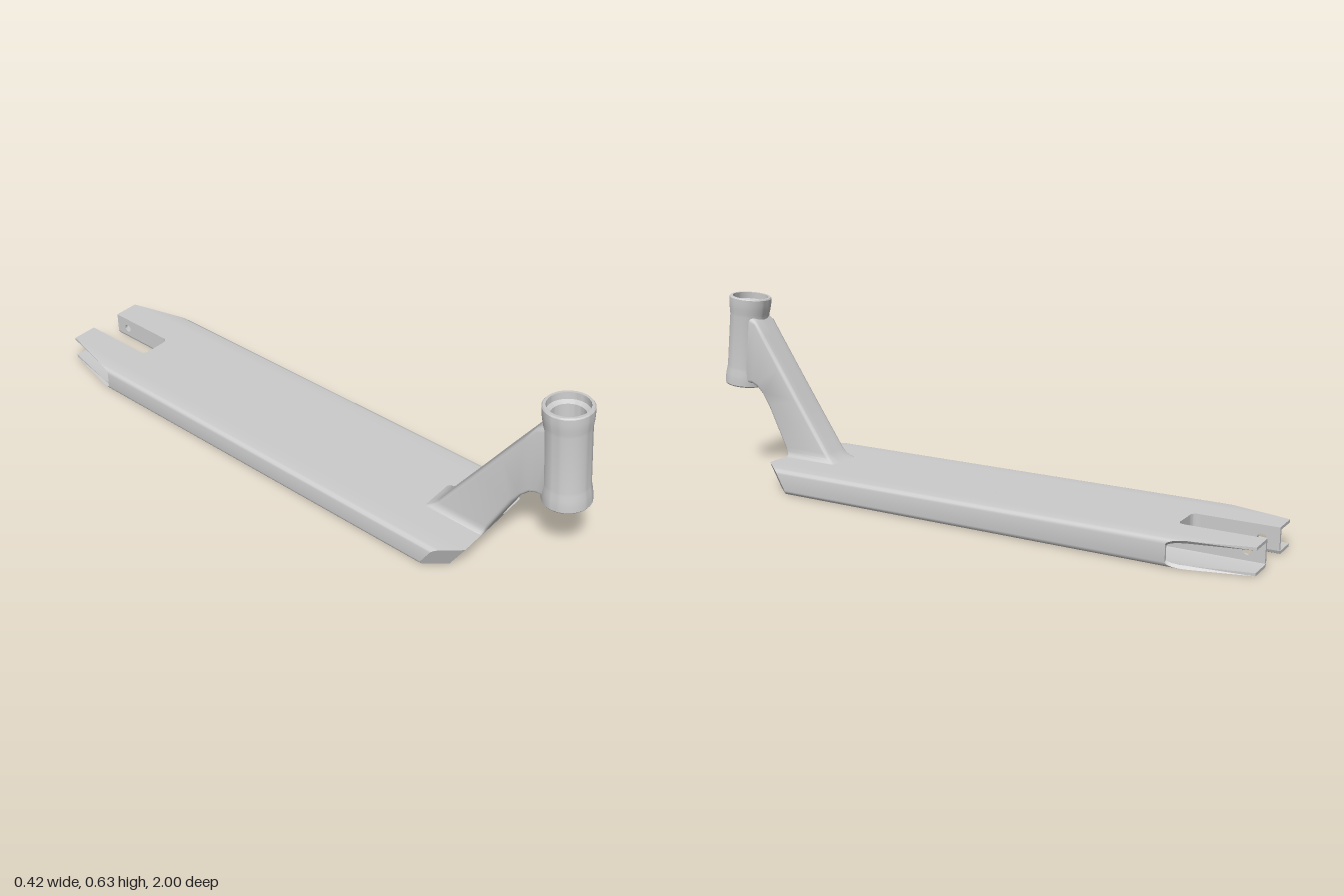
import * as THREE from 'three';
import { toCreasedNormals } from 'three/addons/utils/BufferGeometryUtils.js';

const material = new THREE.MeshStandardMaterial({ color: 0xcccccc, side: THREE.DoubleSide });
const TOP = 0.083, SLOT = 0.058, BEND = 0.147;

// Slanted, corner-cut nose and tapered tail of the deck
const noseZ = (x, y) => 0.66 + 0.048 * y / TOP - Math.max(0, x - BEND) * 1.15;
const tailZ = (x) => -1 + Math.max(0, x - BEND) * 0.24 / (0.21 - BEND);

function part(parent, name, geometry, crease = 0.6) {
  const mesh = new THREE.Mesh(toCreasedNormals(geometry, crease), material);
  mesh.name = name;
  parent.add(mesh);
  return mesh;
}

// Skin a list of equal-length rows of [x, y, z]; polygons in caps close the last row
function loft(rows, closed, caps = []) {
  const n = rows[0].length, index = [];
  for (let i = 0; i < rows.length - 1; i++) {
    for (let j = 0; j < (closed ? n : n - 1); j++) {
      const k = (j + 1) % n, a = i * n + j, b = i * n + k;
      index.push(a, b, a + n, b, b + n, a + n);
    }
  }
  const last = (rows.length - 1) * n;
  for (const cap of caps) {
    for (let i = 1; i < cap.length - 1; i++) index.push(last + cap[0], last + cap[i], last + cap[i + 1]);
  }
  const g = new THREE.BufferGeometry();
  g.setAttribute('position', new THREE.Float32BufferAttribute(rows.flat(2), 3));
  g.setIndex(index);
  return g;
}

// Extrude a [z, y] side profile across x from x0 to x1
function sideProfile(points, x0, x1, hole) {
  const shape = new THREE.Shape(points.map(([z, y]) => new THREE.Vector2(z, y)));
  if (hole) shape.holes.push(new THREE.Path().absarc(hole[0], hole[1], hole[2], 0, Math.PI * 2, true));
  const g = new THREE.ExtrudeGeometry(shape, { depth: x1 - x0, bevelEnabled: false, curveSegments: 16 });
  return g.rotateY(-Math.PI / 2).translate(x1, 0, 0);
}

// Hollow rail along one side of the deck
function railGeometry() {
  const section = [[SLOT, 0.012], [0.0615, 0.0035], [0.07, 0], [BEND, 0]];
  const r = 0.015;
  for (const [cy, start] of [[r, -Math.PI / 2], [TOP - r, 0]]) {
    for (let i = 0; i <= 4; i++) {
      const a = start + i * Math.PI / 8;
      section.push([0.21 - r + r * Math.cos(a), cy + r * Math.sin(a)]);
    }
  }
  section.push([BEND, TOP], [SLOT, TOP]);
  const inner = section.map(([x, y]) => [x > BEND ? BEND + (x - BEND) * 0.86 : x, TOP / 2 + (y - TOP / 2) * 0.78]);
  const rows = [
    inner.map(([x, y]) => [x, y, 0.5]),
    inner.map(([x, y], i) => [x, y, tailZ(section[i][0])]),
    section.map(([x, y]) => [x, y, tailZ(x)]),
    section.map(([x, y]) => [x, y, noseZ(x, y)]),
  ];
  return loft(rows, false, [[0, 1, 2, 3, 14, 15], [3, 4, 5, 6, 7, 8, 9, 10, 11, 12, 13, 14]]);
}

// Plate joining the rails, with rounded corners at the wheel slot
function plateGeometry() {
  const s = new THREE.Shape();
  s.moveTo(-SLOT, -0.7);
  s.lineTo(SLOT, -0.7);
  s.lineTo(SLOT, 0.757);
  s.quadraticCurveTo(SLOT, 0.735, 0.036, 0.735);
  s.lineTo(-0.036, 0.735);
  s.quadraticCurveTo(-SLOT, 0.735, -SLOT, 0.757);
  s.closePath();
  const g = new THREE.ExtrudeGeometry(s, { depth: 0.038, bevelEnabled: false, curveSegments: 6 });
  g.rotateX(-Math.PI / 2).translate(0, TOP - 0.038, 0);
  const p = g.attributes.position;
  for (let i = 0; i < p.count; i++) if (p.getZ(i) > 0.69) p.setZ(i, noseZ(0, p.getY(i)));
  return g;
}

// Neck: rounded rectangles between a rear and a front edge, wrapped onto the head tube
function neckGeometry() {
  const stations = [ // rear z, rear y, front z, front y, half width
    [0.497, 0.08, 0.708, 0.08, 0.068],
    [0.512, 0.088, 0.711, 0.09, 0.058],
    [0.525, 0.097, 0.715, 0.1, 0.054],
    [0.54, 0.112, 0.722, 0.115, 0.0525],
    [0.66, 0.286, 0.79, 0.252, 0.0525],
    [0.735, 0.396, 0.812, 0.287, 0.0525],
    [0.8, 0.49, 0.837, 0.312, 0.0525],
    [0.835, 0.542, 0.86, 0.322, 0.0525],
    [0.848, 0.562, 0.875, 0.323, 0.0525],
  ];
  const rows = stations.map(([zr, yr, zf, yf, w], i) => {
    const len = Math.hypot(zf - zr, yf - yr), r = 0.013, row = [];
    const corners = [[-1, 1, Math.PI], [1, 1, Math.PI / 2], [1, 0, 0], [-1, 0, -Math.PI / 2]];
    for (const [sx, end, start] of corners) {
      for (let k = 0; k <= 4; k++) {
        const a = start - k * Math.PI / 8;
        const x = sx * (w - r) + r * Math.cos(a);
        const t = ((end ? len - r : r) + r * Math.sin(a)) / len;
        const y = yr + (yf - yr) * t;
        const wrapped = 0.915 - 0.115 * (y - 0.466) - Math.sqrt(0.057 ** 2 - Math.min(x * x, 0.003));
        row.push([x, y, i === stations.length - 1 ? wrapped : zr + (zf - zr) * t]);
      }
    }
    // extra points across the front and rear let the last row follow the tube
    const mid = (a, b, f) => a.map((v, k) => v + (b[k] - v) * f);
    const out = [];
    row.forEach((p, j) => {
      out.push(p);
      if (j === 4 || j === 14) {
        for (const f of [0.25, 0.5, 0.75]) {
          const q = mid(p, row[j + 1], f);
          if (i === stations.length - 1) q[2] = 0.915 - 0.115 * (q[1] - 0.466) - Math.sqrt(0.057 ** 2 - q[0] ** 2);
          out.push(q);
        }
      }
    });
    return out;
  });
  return loft(rows, true);
}

export function createModel() {
  const model = new THREE.Group();
  model.name = 'scooterDeck';

  // Deck
  const deck = new THREE.Group();
  deck.name = 'deck';
  model.add(deck);
  const rail = railGeometry();
  const web = sideProfile([[-1, 0.012], [0.659, 0.012], [0.698, 0.0825], [-1, 0.0825]], SLOT, SLOT + 0.01, [-0.947, 0.043, 0.014]);
  for (const [side, sx] of [['left', 1], ['right', -1]]) {
    part(deck, side + 'Rail', rail).scale.x = sx;
    part(deck, side + 'InnerWall', web).scale.x = sx;
  }
  part(deck, 'centrePlate', plateGeometry());

  // Block under the neck, closing the front of the channel
  part(deck, 'neckPlug', sideProfile([[0.52, 0.046], [0.61, 0.016], [noseZ(0, 0.016), 0.016], [noseZ(0, 0.046), 0.046]], -SLOT, SLOT));

  // Neck
  part(model, 'neck', neckGeometry(), 0.7);

  // Head tube with flared ends and bearing seats
  const h = 0.157;
  const outer = [[0.069, -h], [0.072, -h + 0.004], [0.072, -h + 0.022], [0.0705, -h + 0.04], [0.068, -h + 0.056], [0.067, -h + 0.066]];
  const bore = [[0.061, h], [0.061, h - 0.022], [0.049, h - 0.03]];
  const flip = (pts) => pts.map(([r, y]) => [r, -y]).reverse();
  const profile = [...outer, ...flip(outer), ...bore, ...flip(bore), outer[0]];
  const tube = part(model, 'headTube', new THREE.LatheGeometry(profile.map(([r, y]) => new THREE.Vector2(r, y)), 48));
  tube.position.set(0, 0.466, 0.912);
  tube.rotation.x = -0.115;

  return model;
}
